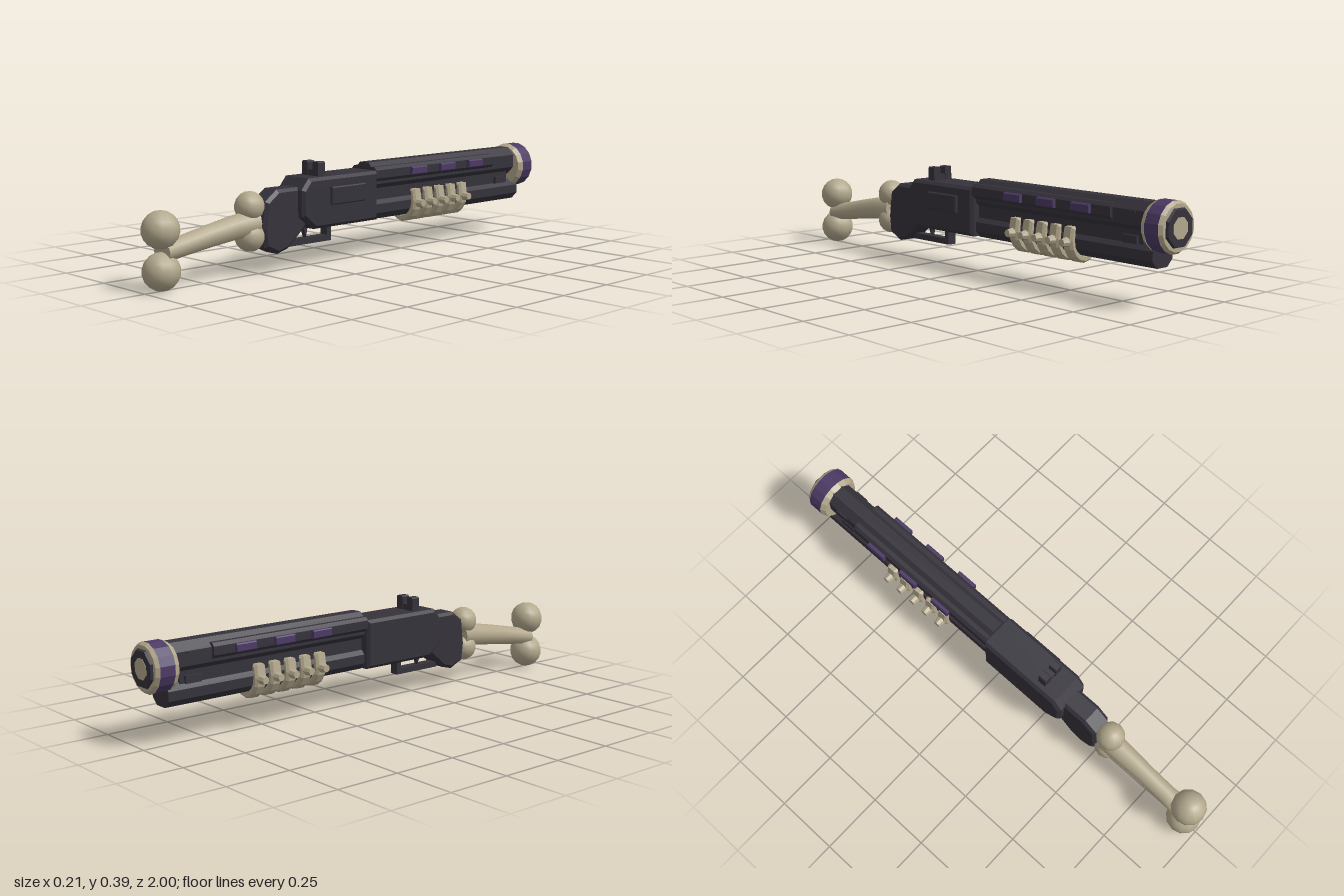
import * as THREE from 'three';

export function createModel() {
  const model = new THREE.Group();
  const material = (name, color, flatShading = false) => {
    const m = new THREE.MeshStandardMaterial({ color, flatShading });
    m.name = name;
    return m;
  };
  const dark = material('gunmetal', 0x35323b, true);
  const bone = material('bone', 0xb3a88d);
  const purple = material('purple', 0x4b3964, true);

  const add = (name, geometry, mat, x = 0, y = 0, z = 0) => {
    const mesh = new THREE.Mesh(geometry, mat);
    mesh.name = name;
    mesh.position.set(x, y, z);
    model.add(mesh);
    return mesh;
  };
  const faceted = (g) => {
    const flat = g.index ? g.toNonIndexed() : g;
    flat.computeVertexNormals();
    return flat;
  };
  // Box given by its limits
  const box = (name, mat, x0, x1, y0, y1, z0, z1) =>
    add(name, new THREE.BoxGeometry(x1 - x0, y1 - y0, z1 - z0), mat, (x0 + x1) / 2, (y0 + y1) / 2, (z0 + z1) / 2);
  const polygon = (points) => new THREE.Shape(points.map(([a, b]) => new THREE.Vector2(a, b)));
  // Side outline in (z, y), extruded across x with bevelled edges
  const sideSolid = (name, points, half, bevel) => {
    const g = new THREE.ExtrudeGeometry(polygon(points), {
      depth: 2 * (half - bevel), bevelEnabled: true, bevelSegments: 1,
      bevelThickness: bevel, bevelSize: bevel, bevelOffset: -bevel,
    });
    g.translate(0, 0, -(half - bevel));
    g.rotateY(-Math.PI / 2);
    return add(name, g, dark);
  };
  // Chamfered rectangle in (x, y), extruded along z
  const longBar = (name, mat, w, y0, y1, c, z0, z1, x = 0) => {
    const shape = polygon([[-w + c, y0], [w - c, y0], [w, y0 + c], [w, y1 - c],
      [w - c, y1], [-w + c, y1], [-w, y1 - c], [-w, y0 + c]]);
    const g = new THREE.ExtrudeGeometry(shape, { depth: z1 - z0, bevelEnabled: false });
    return add(name, g, mat, x, 0, z0);
  };

  // Bone stock: curved shaft with a pair of knobs at each end
  const sections = [ // z, centre y, half width, half height
    [0.52, 0.195, 0.048, 0.05], [0.62, 0.185, 0.044, 0.046], [0.73, 0.168, 0.038, 0.042],
    [0.84, 0.149, 0.038, 0.038], [0.925, 0.136, 0.048, 0.037],
  ];
  const shaft = new THREE.CylinderGeometry(1, 1, 1, 12, sections.length - 1);
  const sp = shaft.attributes.position;
  for (let i = 0; i < sp.count; i++) {
    const s = sections[Math.round((sp.getY(i) + 0.5) * (sections.length - 1))];
    sp.setXYZ(i, sp.getX(i) * s[2], s[1] - sp.getZ(i) * s[3], s[0]);
  }
  shaft.computeVertexNormals();
  add('stockShaft', shaft, bone);
  [[0.215, 0.93, 0.068], [0.07, 0.93, 0.068], [0.255, 0.54, 0.056], [0.145, 0.54, 0.056]].forEach(([y, z, r]) =>
    add('stockKnob', new THREE.SphereGeometry(r, 12, 9), bone, 0, y, z));

  // Grip and receiver
  sideSolid('grip', [[0.495, 0.27], [0.44, 0.31], [0.31, 0.31], [0.3, 0.16], [0.39, 0.085],
    [0.44, 0.072], [0.5, 0.1], [0.508, 0.17]], 0.045, 0.012);
  sideSolid('receiver', [[0.345, 0.3], [0.31, 0.342], [-0.045, 0.342], [-0.045, 0.15],
    [0.285, 0.15], [0.345, 0.2]], 0.075, 0.012);
  sideSolid('ejectionPanel', [[0.21, 0.235], [0.21, 0.303], [0.035, 0.303], [0.035, 0.235]], 0.012, 0.004)
    .position.x = 0.075;

  // Rear sight
  for (const s of [-1, 1]) longBar('sightPost', dark, 0.016, 0.335, 0.396, 0.004, 0.21, 0.245, s * 0.029);
  box('sightBase', dark, -0.02, 0.02, 0.335, 0.365, 0.212, 0.243);

  // Trigger and guard
  box('guardBar', dark, -0.018, 0.018, 0.087, 0.11, 0.155, 0.37);
  box('guardFront', dark, -0.018, 0.018, 0.09, 0.155, 0.155, 0.177);
  sideSolid('trigger', [[0.292, 0.155], [0.275, 0.11], [0.265, 0.155]], 0.01, 0.002);

  // Barrel, side housing and magazine tube
  longBar('barrel', dark, 0.054, 0.255, 0.37, 0.031, -0.93, -0.04);
  longBar('barrelHousing', dark, 0.068, 0.298, 0.354, 0.012, -0.745, -0.04);
  box('barrelSpine', dark, -0.036, 0.036, 0.2, 0.27, -0.87, -0.04);
  longBar('magazineTube', dark, 0.052, 0.145, 0.232, 0.026, -0.925, -0.04);
  box('tubeClamp', dark, -0.048, 0.048, 0.222, 0.25, -0.85, -0.785);
  for (const s of [-1, 1]) {
    box('barrelSlot', dark, s * 0.054 - 0.004, s * 0.054 + 0.004, 0.329, 0.337, -0.85, -0.795);
    // Purple side inserts
    for (const z of [-0.272, -0.443, -0.615])
      longBar('sideInsert', purple, 0.01, 0.31, 0.342, 0.004, z - 0.043, z + 0.043, s * 0.073);
  }

  // Rib-like pump grip: U-shaped bands with side studs
  const rib = new THREE.Shape();
  const arc = (rx, ry, from, to) => Array.from({ length: 9 }, (_, i) => {
    const a = from + (to - from) * i / 8;
    return new THREE.Vector2(rx * Math.cos(a), 0.2 + ry * Math.sin(a));
  });
  rib.setFromPoints([
    new THREE.Vector2(-0.07, 0.25), ...arc(0.078, 0.088, Math.PI, 2 * Math.PI), new THREE.Vector2(0.07, 0.25),
    new THREE.Vector2(0.046, 0.25), ...arc(0.05, 0.056, 2 * Math.PI, Math.PI), new THREE.Vector2(-0.046, 0.25),
  ]);
  const ribGeometry = faceted(new THREE.ExtrudeGeometry(rib, {
    depth: 0.03, bevelEnabled: true, bevelSegments: 1, bevelThickness: 0.009, bevelSize: 0.008, bevelOffset: -0.008,
  }));
  const stud = new THREE.CylinderGeometry(0.014, 0.02, 0.034, 8);
  stud.rotateZ(-Math.PI / 2);
  const studGeometry = faceted(stud);
  for (let i = 0; i < 5; i++) {
    const z = -0.272 - i * 0.0695;
    add('pumpRib', ribGeometry, bone, 0, 0, z - 0.015);
    for (const s of [-1, 1]) {
      add('ribStud', studGeometry, bone, s * 0.086, 0.195, z).rotation.y = s < 0 ? Math.PI : 0;
    }
  }

  // Muzzle: banded collar, dark octagonal end and bone core
  const disc = (name, mat, r0, r1, z0, z1, sides) => {
    const g = new THREE.CylinderGeometry(r1, r0, z1 - z0, sides);
    g.rotateY(Math.PI / sides);
    g.rotateX(Math.PI / 2);
    return add(name, faceted(g), mat, 0, 0.29, (z0 + z1) / 2);
  };
  disc('collarRearRim', bone, 0.093, 0.082, -0.917, -0.896, 16);
  disc('collarBand', purple, 0.0915, 0.0915, -0.977, -0.917, 16);
  disc('collarFrontRim', bone, 0.083, 0.093, -0.99, -0.977, 16);
  disc('muzzleEnd', dark, 0.068, 0.075, -0.999, -0.985, 8);
  disc('muzzleCore', bone, 0.04, 0.04, -1, -0.992, 8);

  return model;
}
